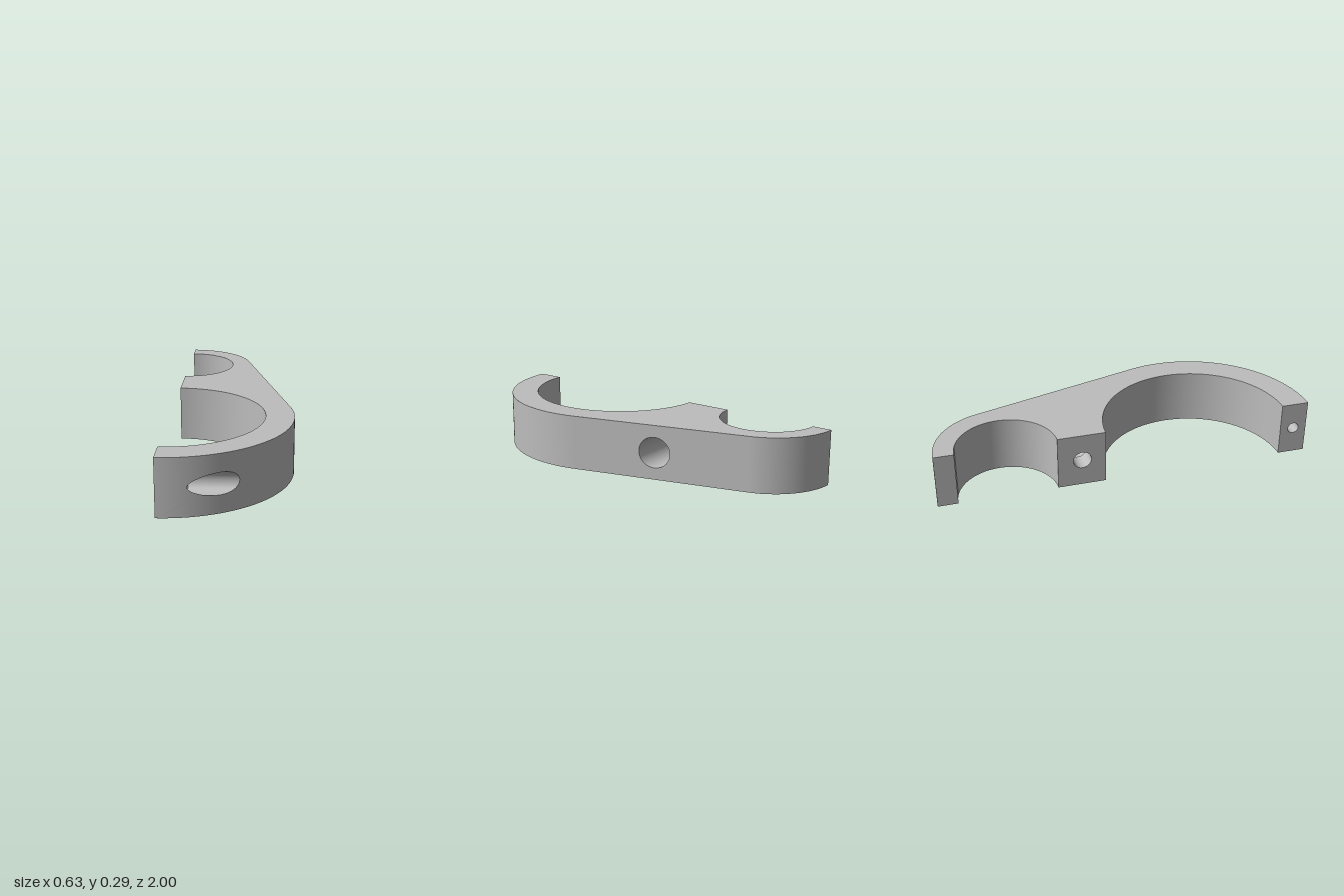
import * as THREE from 'three';

const H = 0.295, MID = H / 2, X0 = -0.317;          // height, mid height, split plane
const BIG = { z: 0.366, inner: 0.487, outer: 0.634 };
const SMALL = { z: -0.635, inner: 0.26, outer: 0.365 };

// Outer outline: big arc, common tangent, small arc, measured by length s from z = +1
const D = BIG.z - SMALL.z;
const SIN = (BIG.outer - SMALL.outer) / D, COS = Math.sqrt(1 - SIN * SIN);
const TANGENT = Math.acos(-SIN);
const L1 = BIG.outer * TANGENT, L2 = L1 + D * COS;
const L3 = L2 + SMALL.outer * (Math.PI - TANGENT);

const onArc = (c, r, a) => [X0 + r * Math.sin(a), c.z + r * Math.cos(a)];
function outline(s) {
  if (s <= L1) return onArc(BIG, BIG.outer, s / BIG.outer);
  if (s >= L2) return onArc(SMALL, SMALL.outer, TANGENT + (s - L2) / SMALL.outer);
  const [x, z] = onArc(BIG, BIG.outer, TANGENT);
  return [x - (s - L1) * SIN, z - (s - L1) * COS];
}
// Outline length at a given z, on the big arc or the tangent
function lengthAt(z) {
  const zT = BIG.z - BIG.outer * SIN;
  return z > zT ? BIG.outer * Math.acos((z - BIG.z) / BIG.outer) : L1 + (zT - z) / COS;
}

// Smooth surface from a rule point(u, v)
function grid(point, nu, nv) {
  const pos = [], index = [];
  for (let i = 0; i <= nu; i++) {
    for (let j = 0; j <= nv; j++) {
      pos.push(...point(i / nu, j / nv));
      if (i < nu && j < nv) {
        const a = i * (nv + 1) + j, b = a + nv + 1;
        index.push(a, b, a + 1, b, b + 1, a + 1);
      }
    }
  }
  const g = new THREE.BufferGeometry();
  g.setAttribute('position', new THREE.Float32BufferAttribute(pos, 3));
  g.setIndex(index);
  g.computeVertexNormals();
  return g;
}

export function createModel() {
  const group = new THREE.Group();
  const grey = new THREE.MeshStandardMaterial({ color: 0xbdbdbd, side: THREE.DoubleSide });
  grey.name = 'grey';
  const add = (name, geometry) => {
    const mesh = new THREE.Mesh(geometry, grey);
    mesh.name = name;
    group.add(mesh);
  };

  // Top and bottom faces
  const face = (sign) => {
    const pts = [];
    const put = ([x, z]) => pts.push(new THREE.Vector2(x, sign * z));
    const N = 64;
    for (let i = 0; i <= N; i++) put(outline(L1 * i / N));
    for (let i = 0; i <= N; i++) put(outline(L2 + (L3 - L2) * i / N));
    for (let i = N; i >= 0; i--) put(onArc(SMALL, SMALL.inner, Math.PI * i / N));
    for (let i = N; i >= 0; i--) put(onArc(BIG, BIG.inner, Math.PI * i / N));
    return new THREE.ShapeGeometry(new THREE.Shape(pts));
  };
  add('topFace', face(-1).rotateX(-Math.PI / 2).translate(0, H, 0));
  add('bottomFace', face(1).rotateX(Math.PI / 2));

  // Half-round inner walls
  for (const [name, c] of [['largeSeat', BIG], ['smallSeat', SMALL]]) {
    add(name, grid((u, v) => {
      const [x, z] = onArc(c, c.inner, Math.PI * u);
      return [x, v * H, z];
    }, 64, 1));
  }

  // Screw holes: clearance bore, countersink and head bore; s range of the wall patch
  const holes = [
    { name: 'smallScrew', z: 0.927, bore: 0.03, head: 0.0555, from: 0, to: 0.57 },
    { name: 'largeScrew', z: -0.245, bore: 0.047, head: 0.083, from: L1 + 0.25, to: L1 + 0.67 },
  ];
  const SINK = -0.175;
  for (const h of holes) {
    const rim = (a) => [h.z - h.head * Math.cos(a), MID + h.head * Math.sin(a)];

    // Outer wall patch, spreading from the round opening to a rectangle
    add(h.name + 'Wall', grid((u, v) => {
      const a = u * Math.PI * 2, c = Math.cos(a), n = Math.sin(a);
      const m = Math.max(Math.abs(c), Math.abs(n));
      const [rz, ry] = rim(a);
      const s = THREE.MathUtils.lerp(lengthAt(rz), (h.from + h.to) / 2 + (h.to - h.from) / 2 * c / m, v);
      const y = THREE.MathUtils.lerp(ry, MID + MID * n / m, v);
      const [x, z] = outline(s);
      return [x, y, z];
    }, 96, 12));

    // Head bore, ending flush with the outer wall
    add(h.name + 'HeadBore', grid((u, v) => {
      const [z, y] = rim(u * Math.PI * 2);
      return [THREE.MathUtils.lerp(outline(lengthAt(z))[0], SINK, v), y, z];
    }, 96, 1));

    // Countersink and clearance bore
    const neck = SINK - (h.head - h.bore);
    const ring = (x1, r1, x2, r2) => grid((u, v) => {
      const a = u * Math.PI * 2, r = THREE.MathUtils.lerp(r1, r2, v);
      return [THREE.MathUtils.lerp(x1, x2, v), MID + r * Math.sin(a), h.z - r * Math.cos(a)];
    }, 48, 1);
    add(h.name + 'Countersink', ring(SINK, h.head, neck, h.bore));
    add(h.name + 'ClearanceBore', ring(neck, h.bore, X0, h.bore));
  }

  // Remaining outer wall strips
  const strip = (name, from, to, n) => add(name, grid((u, v) => {
    const [x, z] = outline(from + (to - from) * u);
    return [x, v * H, z];
  }, n, 1));
  strip('largeArcWall', holes[0].to, L1, 48);
  strip('frontStraightWall', L1, holes[1].from, 1);
  strip('backStraightWall', holes[1].to, L2, 1);
  strip('smallArcWall', L2, L3, 48);

  // Flat mating faces on the split plane
  const mating = (name, z1, z2, hole) => {
    const shape = new THREE.Shape();
    shape.moveTo(z1, 0).lineTo(z2, 0).lineTo(z2, H).lineTo(z1, H).closePath();
    if (hole) shape.holes.push(new THREE.Path().absarc(hole.z, MID, hole.bore, 0, Math.PI * 2, true));
    add(name, new THREE.ShapeGeometry(shape, 48).rotateY(-Math.PI / 2).translate(X0, 0, 0));
  };
  mating('frontMatingFace', BIG.z + BIG.inner, BIG.z + BIG.outer, holes[0]);
  mating('middleMatingFace', SMALL.z + SMALL.inner, BIG.z - BIG.inner, holes[1]);
  mating('backMatingFace', SMALL.z - SMALL.outer, SMALL.z - SMALL.inner);

  return group;
}
